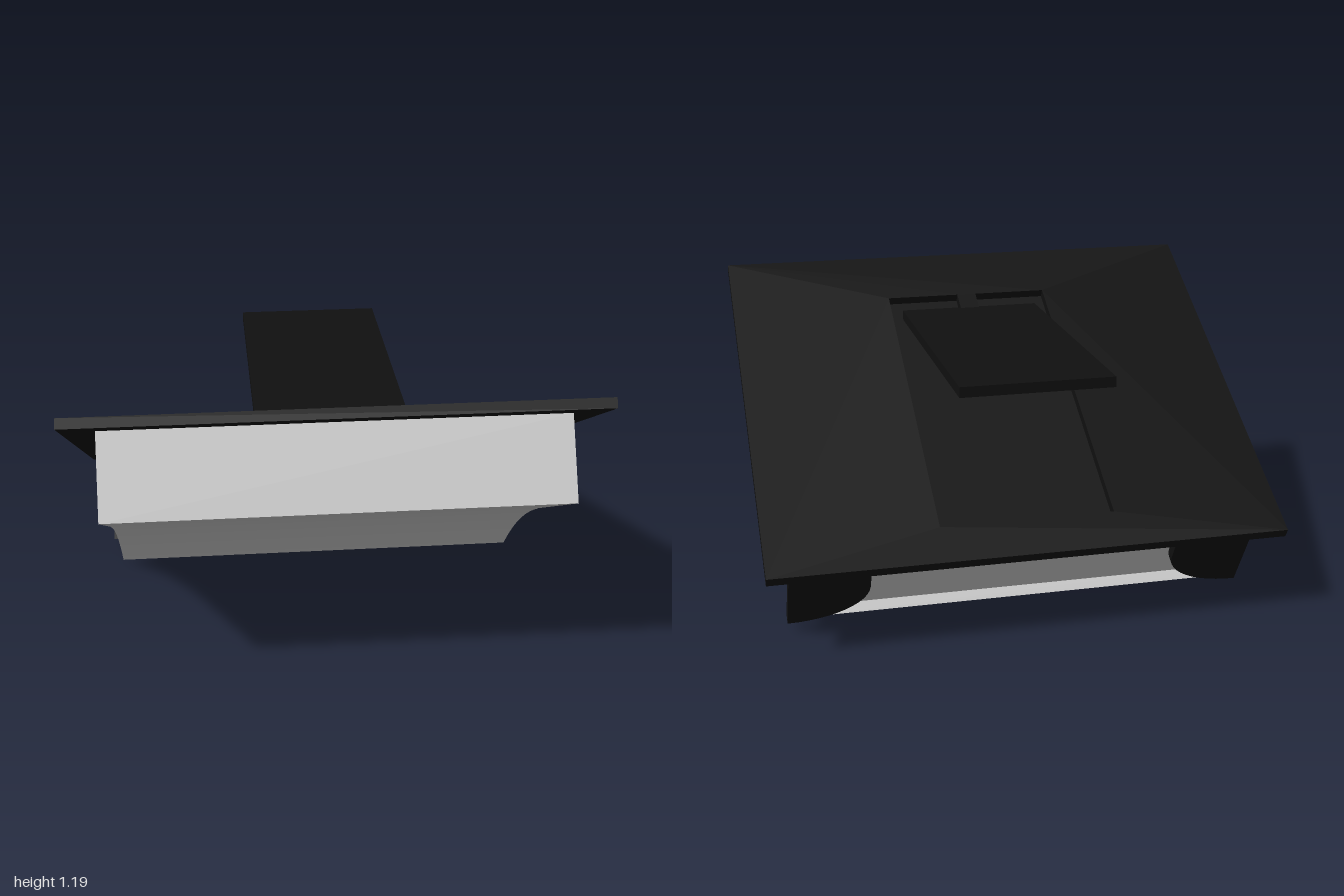
import * as THREE from 'three';

const black = new THREE.MeshStandardMaterial({ color: 0x101010 });
const grey = new THREE.MeshStandardMaterial({ color: 0xcccccc });
const greySheet = new THREE.MeshStandardMaterial({ color: 0xcccccc, side: THREE.DoubleSide });

function add(parent, name, geometry, material, x = 0, y = 0, z = 0) {
  const mesh = new THREE.Mesh(geometry, material);
  mesh.name = name;
  mesh.position.set(x, y, z);
  parent.add(mesh);
  return mesh;
}

const outline = (points) => points.map(([x, y]) => new THREE.Vector2(x, y));

// Board with a rectangular opening; a small hinge tab juts into its upper edge
function boardGeometry(thickness) {
  const shape = new THREE.Shape(outline([[-1, -0.834], [1, -0.834], [1, 0.834], [-1, 0.834]]));
  shape.holes.push(new THREE.Path(outline([
    [-0.34, -0.67], [-0.34, 0.575], [-0.04, 0.575], [-0.04, 0.49],
    [0.04, 0.49], [0.04, 0.575], [0.34, 0.575], [0.34, -0.67],
  ])));
  const geometry = new THREE.ExtrudeGeometry(shape, { depth: thickness, bevelEnabled: false });
  return geometry.rotateX(Math.PI / 2).translate(0, thickness / 2, 0);
}

// Foot: straight outer edge, inner edge curving down to the outer tip
function footGeometry(side) {
  const outer = 0.91, width = 0.31, top = -0.02, bend = -0.205, drop = 0.19;
  const points = [[side * outer, top], [side * (outer - width), top]];
  for (let i = 0; i <= 12; i++) {
    const t = (i / 12) * Math.PI / 2;
    points.push([side * (outer - width * Math.cos(t)), bend - drop * Math.sin(t)]);
  }
  return new THREE.ExtrudeGeometry(new THREE.Shape(outline(points)), { depth: 0.04, bevelEnabled: false });
}

// Thin skin that peels away from the underside of the body in a smooth curve
function flapGeometry() {
  const start = 0.09, end = -0.666, segments = 20;
  const geometry = new THREE.PlaneGeometry(1.74, 1, 1, segments);
  const p = geometry.attributes.position;
  for (let i = 0; i < p.count; i++) {
    const t = p.getY(i) + 0.5;
    p.setXYZ(i, p.getX(i), -0.353 - 0.137 * t * t, start + (end - start) * t);
  }
  geometry.computeVertexNormals();
  return geometry;
}

export function createModel() {
  const model = new THREE.Group();
  model.name = 'tiltedBoardWithLid';

  // Everything but the open lid lies in the tilted frame
  const tilted = new THREE.Group();
  tilted.name = 'tiltedBody';
  tilted.position.set(0, 0.757, -0.028);
  tilted.rotation.x = -Math.PI / 6;
  model.add(tilted);

  add(tilted, 'board', boardGeometry(0.04), black);
  add(tilted, 'openingFloor', new THREE.BoxGeometry(0.7, 0.006, 1.27), black, 0, -0.019, -0.0475);
  add(tilted, 'body', new THREE.BoxGeometry(1.74, 0.332, 1.42), grey, 0, -0.186, 0);
  add(tilted, 'curvedFlap', flapGeometry(), greySheet);
  add(tilted, 'leftFoot', footGeometry(1), black, 0, 0, -0.751);
  add(tilted, 'rightFoot', footGeometry(-1), black, 0, 0, -0.751);

  // Lid swung open to horizontal
  add(model, 'lid', new THREE.BoxGeometry(0.58, 0.04, 1.15), black, 0, 1.0, -0.175);
  return model;
}
